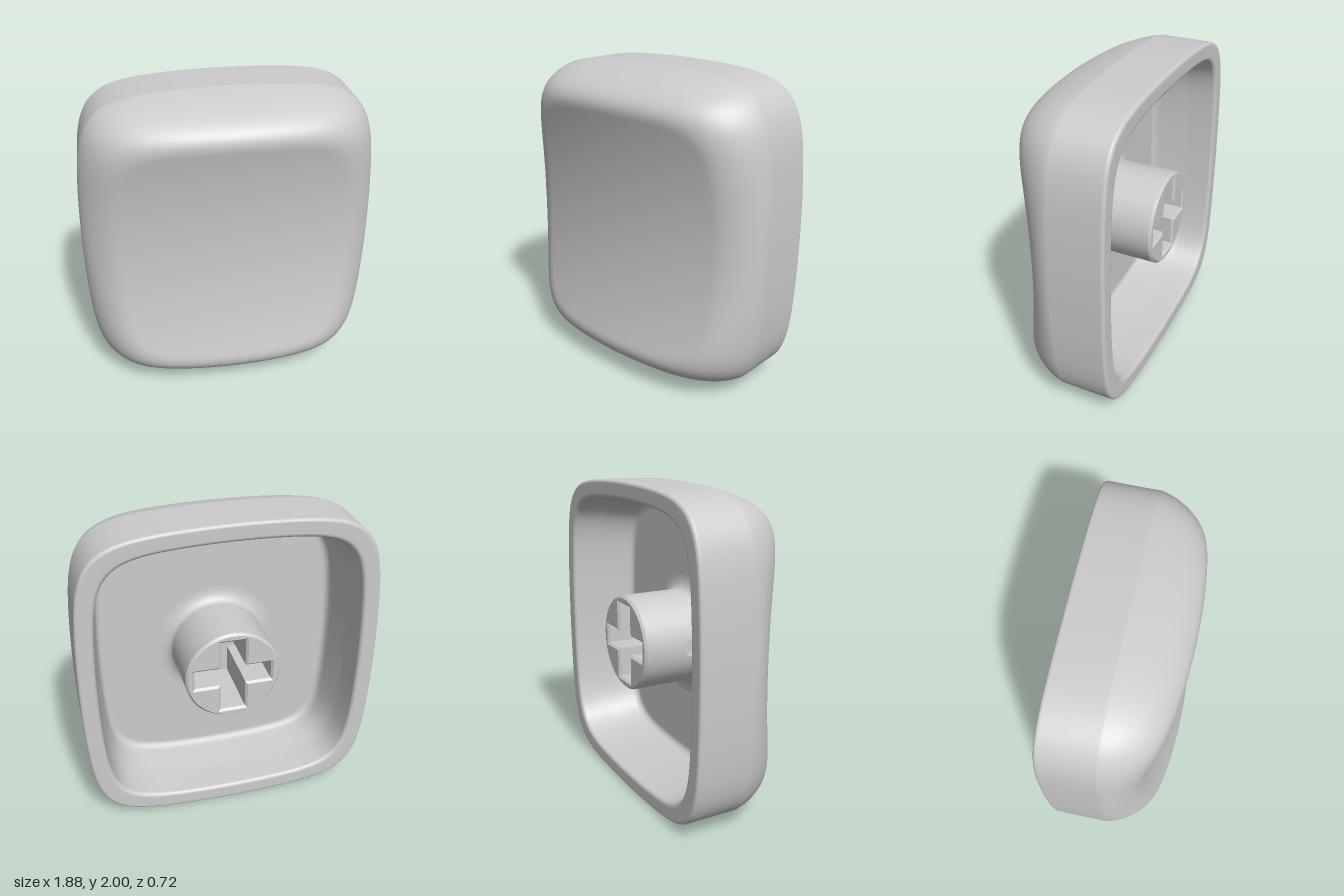
import * as THREE from 'three';

const HALF_W = 0.94, HALF_H = 1;
const BACK = -0.36, CEILING = 0.08, STEM_R = 0.3;

// Square with bowed edges and rounded corners, shrunk evenly by an inset
function outline(angle, inset = 0) {
  const c = Math.cos(angle), s = Math.sin(angle), bow = 0.07, power = 7.5;
  let lo = 0.5, hi = 1.5;
  for (let i = 0; i < 30; i++) {
    const r = (lo + hi) / 2, u = Math.abs(c * r), v = Math.abs(s * r);
    if ((u + bow * v * v) ** power + (v + bow * u * u) ** power < 1) lo = r;
    else hi = r;
  }
  return [c * lo * (HALF_W - inset), s * lo * (HALF_H - inset)];
}

// Front surface: a scooped, crowned dish rolling off at the border,
// sloped along the top and bottom and elliptical along the sides
function frontHeight(x, y, d, angle) {
  const dish = 0.265 + 0.165 * y * y - 0.12 * x * x;
  const k = Math.sin(angle) ** 2;
  const u = Math.max(0, 1 - d / (0.25 + 0.02 * k));
  const roll = Math.max(0, 1 - u ** (2 + 0.4 * k)) ** (0.5 + 0.47 * k);
  return -0.02 + (dish + 0.02) * roll;
}

// Surface through closed loops that all have the same number of points
function loft(rings) {
  const N = rings[0].length, index = [];
  for (let i = 0; i < rings.length - 1; i++) {
    for (let j = 0; j < N; j++) {
      const k = (j + 1) % N, a = i * N, b = a + N;
      index.push(a + j, b + j, b + k, a + j, b + k, a + k);
    }
  }
  const geo = new THREE.BufferGeometry();
  geo.setAttribute('position', new THREE.Float32BufferAttribute(rings.flat(2), 3));
  geo.setIndex(index);
  return geo;
}

function shellGeometry() {
  const N = 192, FRONT = 70, rings = [];
  const addRing = (point) => {
    const ring = [];
    for (let j = 0; j < N; j++) ring.push(point(j / N * Math.PI * 2));
    rings.push(ring);
  };
  // front face, from the centre to the border
  for (let i = 0; i <= FRONT; i++) {
    const d = (1 - i / FRONT) ** 2;
    addRing((a) => {
      const [ox, oy] = outline(a);
      const x = ox * (1 - d), y = oy * (1 - d);
      return [x, y, frontHeight(x, y, d, a)];
    });
  }
  // outer wall, rounded rim, two-step inner wall, ceiling: [inset, z]
  const profile = [[0, -0.04], [0, -0.18], [0, BACK + 0.03]];
  const arc = (cx, cz, r, from, to) => {
    for (let i = 0; i <= 6; i++) {
      const a = from + (to - from) * i / 6;
      profile.push([cx + r * Math.cos(a), cz + r * Math.sin(a)]);
    }
  };
  arc(0.02, BACK + 0.02, 0.02, Math.PI, Math.PI * 1.5);
  arc(0.085, BACK + 0.025, 0.025, -Math.PI / 2, 0);
  profile.push([0.112, -0.31], [0.125, -0.18], [0.127, -0.16], [0.131, -0.14], [0.156, 0.02],
    [0.161, 0.045], [0.168, 0.063], [0.18, 0.075], [0.194, CEILING], [0.21, CEILING], [0.5, CEILING]);
  for (const [inset, z] of profile) addRing((a) => [...outline(a, inset), z]);
  addRing(() => [0, 0, CEILING]);
  const geo = loft(rings);
  geo.computeVertexNormals();
  return geo;
}

// Stem end face with a chamfered, cross-shaped socket sunk into it
function socketGeometry() {
  const crossRing = (grow, z) => {
    const L = 0.245 + grow, w = 0.08 + grow, h = 0.062 + grow, steps = 6, ring = [];
    const corners = [[L, -h], [L, h], [w, h], [w, L], [-w, L], [-w, h],
      [-L, h], [-L, -h], [-w, -h], [-w, -L], [w, -L], [w, -h]];
    corners.forEach(([x, y], i) => {
      const [nx, ny] = corners[(i + 1) % corners.length];
      for (let s = 0; s < steps; s++) {
        const t = s / steps;
        ring.push([x + (nx - x) * t, y + (ny - y) * t, z]);
      }
    });
    return ring;
  };
  const mouth = crossRing(0.014, BACK);
  const rim = mouth.map(([x, y]) => {
    const k = 0.286 / Math.hypot(x, y);
    return [x * k, y * k, BACK];
  });
  const rings = [rim, mouth, crossRing(0, BACK + 0.014), crossRing(0, CEILING)];
  const geo = loft(rings).toNonIndexed();
  geo.computeVertexNormals();
  return geo;
}

// Flat panel with a round hole, bent around the stem on its -x side
function holePanelGeometry(half, z0, z1, holeZ, holeR) {
  const u = half * STEM_R, pts = [], n = 12;
  for (let i = 0; i < n; i++) pts.push(new THREE.Vector2(-u + 2 * u * i / n, z0));
  for (let i = 0; i < n; i++) pts.push(new THREE.Vector2(u, z0 + (z1 - z0) * i / n));
  for (let i = 0; i < n; i++) pts.push(new THREE.Vector2(u - 2 * u * i / n, z1));
  for (let i = 0; i < n; i++) pts.push(new THREE.Vector2(-u, z1 + (z0 - z1) * i / n));
  const shape = new THREE.Shape(pts);
  shape.holes.push(new THREE.Path().absarc(0, holeZ, holeR, 0, Math.PI * 2, true));
  const geo = new THREE.ShapeGeometry(shape, 24);
  const p = geo.attributes.position, nor = geo.attributes.normal;
  for (let i = 0; i < p.count; i++) {
    const t = p.getX(i) / STEM_R, z = p.getY(i);
    p.setXYZ(i, -STEM_R * Math.cos(t), -STEM_R * Math.sin(t), z);
    nor.setXYZ(i, -Math.cos(t), -Math.sin(t), 0);
  }
  return geo;
}

export function createModel() {
  const model = new THREE.Group();
  model.name = 'keycap';
  const solid = new THREE.MeshStandardMaterial({ color: 0xcccccc });
  const thin = new THREE.MeshStandardMaterial({ color: 0xcccccc, side: THREE.DoubleSide });
  const add = (parent, name, geo, mat) => {
    const mesh = new THREE.Mesh(geo, mat);
    mesh.name = name;
    parent.add(mesh);
  };
  const lathe = (pts) => new THREE.LatheGeometry(
    pts.map(([r, z]) => new THREE.Vector2(r, z)), 64).rotateX(Math.PI / 2);

  add(model, 'shell', shellGeometry(), solid);

  const stem = new THREE.Group();
  stem.name = 'stem';
  model.add(stem);
  add(stem, 'crossSocket', socketGeometry(), thin);
  add(stem, 'stemChamfer', lathe([[0.285, BACK], [STEM_R, BACK + 0.016]]), thin);

  // stem wall, left open where the pierced panel sits
  const z0 = BACK + 0.016, z1 = 0.025, half = 0.25, holeZ = -0.036, holeR = 0.056;
  const wall = new THREE.CylinderGeometry(STEM_R, STEM_R, z1 - z0, 64, 1, true,
    Math.PI * 1.5 + half, Math.PI * 2 - half * 2);
  add(stem, 'stemWall', wall.rotateX(Math.PI / 2).translate(0, 0, (z0 + z1) / 2), thin);
  add(stem, 'piercedPanel', holePanelGeometry(half, z0, z1, holeZ, holeR), thin);
  const bore = new THREE.CylinderGeometry(holeR, holeR, 0.048, 24, 1, true);
  add(stem, 'sideHole', bore.rotateZ(Math.PI / 2).translate(-0.269, 0, holeZ), thin);

  // concave fillet where the stem meets the ceiling
  const fillet = [];
  for (let i = 0; i <= 8; i++) {
    const a = i / 8 * Math.PI / 2;
    fillet.push([STEM_R + 0.095 * (1 - Math.cos(a)), z1 + (CEILING - z1) * Math.sin(a)]);
  }
  add(stem, 'stemFillet', lathe(fillet), thin);

  model.position.y = 1;
  const root = new THREE.Group();
  root.add(model);
  return root;
}
